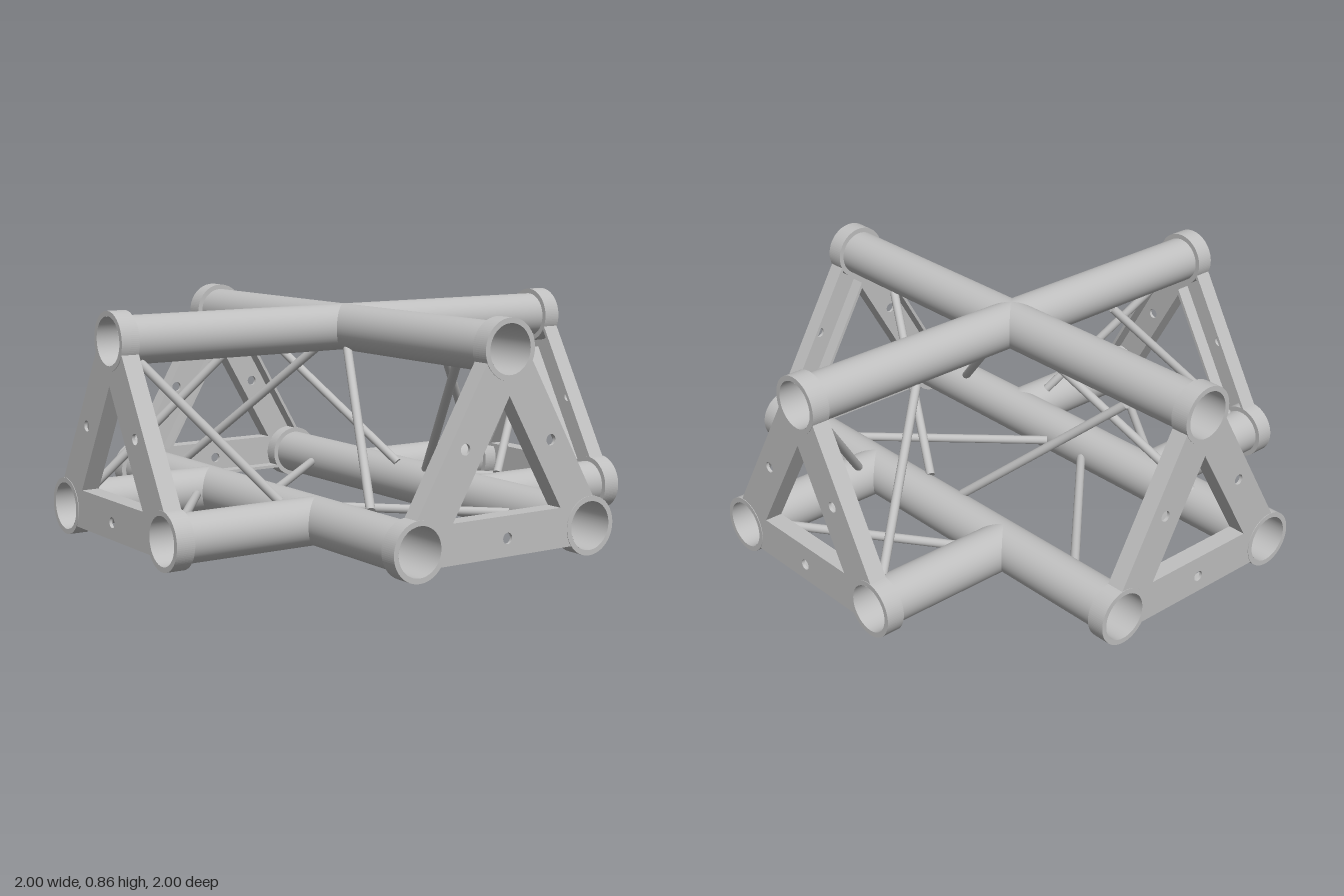
import * as THREE from 'three';

const R = 0.088, RING = 0.107, ROD = 0.017, RING_W = 0.07;
const HALF = 0.375, LOW = 0.107, HIGH = 0.757;
const CORNERS = [[-HALF, LOW], [HALF, LOW], [0, HIGH]];
const CY = LOW + (HIGH - LOW) / 3; // centre of the triangular section
const IN = 0.137;                  // inradius of the plate window
const WALL = 0.012;

export function createModel() {
  const metal = new THREE.MeshStandardMaterial({ color: 0xc0c0c0, side: THREE.DoubleSide });
  metal.name = 'brushed aluminium';
  const model = new THREE.Group();
  model.name = 'fourWayTruss';

  const add = (parent, name, geo) => {
    const mesh = new THREE.Mesh(geo, metal);
    mesh.name = name;
    parent.add(mesh);
    return mesh;
  };

  // cylinder between two points
  const bar = (name, a, b, r, open) => {
    const p = new THREE.Vector3(...a), q = new THREE.Vector3(...b);
    const d = q.clone().sub(p);
    const mesh = add(model, name, new THREE.CylinderGeometry(r, r, d.length(), open ? 48 : 16, 1, open));
    mesh.position.copy(p).add(q).multiplyScalar(0.5);
    mesh.quaternion.setFromUnitVectors(new THREE.Vector3(0, 1, 0), d.normalize());
  };

  // main chords: two crossing top tubes, two long lower tubes, four lower stubs
  bar('topChordAcross', [-1, HIGH, 0], [1, HIGH, 0], R, true);
  bar('topChordLong', [0, HIGH, -1], [0, HIGH, 1], R, true);
  for (const s of [-1, 1]) {
    bar('lowerChordLong', [s * HALF, LOW, -1], [s * HALF, LOW, 1], R, true);
    for (const t of [-1, 1]) bar('lowerChordStub', [s * HALF, LOW, t * HALF], [s, LOW, t * HALF], R, true);
  }

  // diagonal braces, running in the faces of the section from tube wall to tube wall
  const e = HALF - R / 2, yl = LOW + R * 0.866, yh = HIGH - R * 0.866, m = R / 2, f = HALF - R;
  for (const s of [-1, 1]) {
    bar('braceLongLeft', [e, yl, s * 0.095], [m, yh, s * 0.655], ROD);
    bar('braceLongRight', [-e, yl, s * 0.655], [-m, yh, s * 0.095], ROD);
    bar('braceLongBottom', [f, LOW, s * 0.66], [-f, LOW, s * 0.1], ROD);
    bar('braceAcrossFront', [s * 0.5, yl, e], [s * 0.9, yh, m], ROD);
    bar('braceAcrossBack', [s * 0.9, yl, -e], [s * 0.5, yh, -m], ROD);
    bar('braceAcrossBottom', [s * 0.9, LOW, f], [s * 0.49, LOW, -f], ROD);
  }

  const circle = (x, y, r) => new THREE.Path().absarc(x, y, r, 0, Math.PI * 2, true);
  const triangle = (PathType, r) => {
    const pts = [210, 330, 90].map((a) => {
      const t = THREE.MathUtils.degToRad(a);
      return new THREE.Vector2(2 * r * Math.cos(t), CY + 2 * r * Math.sin(t));
    });
    const path = new PathType(pts);
    path.closePath();
    return path;
  };
  const extrude = (shape, depth) =>
    new THREE.ExtrudeGeometry(shape, { depth, bevelEnabled: false, curveSegments: 24 });

  // triangular web with tube bores, window and bolt holes
  const drop = 0.064, arcR = 0.1, phi = Math.asin(drop / arcR);
  const web = new THREE.Shape();
  CORNERS.forEach(([x, y], i) => {
    const out = THREE.MathUtils.degToRad([210, 330, 90][i]);
    const spread = Math.PI * 5 / 6 - phi;
    web.absarc(x, y, arcR, out - spread, out + spread, false);
  });
  web.closePath();
  web.holes.push(triangle(THREE.Path, IN));
  CORNERS.forEach(([x, y], i) => {
    const [x2, y2] = CORNERS[(i + 1) % 3];
    web.holes.push(circle(x, y, 0.092), circle((x + x2) / 2, (y + y2) / 2, 0.02));
  });
  const webGeo = extrude(web, WALL);

  // inner flange around the window, and thin outer flanges along the sides
  const inner = triangle(THREE.Shape, IN + WALL);
  inner.holes.push(triangle(THREE.Path, IN));
  const innerGeo = extrude(inner, RING_W - 0.002);
  const outerGeo = new THREE.BoxGeometry(2 * HALF - 2 * 0.08, WALL, RING_W - 0.002);

  // end collars
  const collar = new THREE.Shape().absarc(0, 0, RING, 0, Math.PI * 2, false);
  collar.holes.push(circle(0, 0, R));
  const collarGeo = new THREE.ExtrudeGeometry(collar, { depth: RING_W, bevelEnabled: false, curveSegments: 48 });

  for (let k = 0; k < 4; k++) {
    const end = new THREE.Group();
    end.name = 'endFrame';
    add(end, 'frameWeb', webGeo).position.z = 0.998 - WALL;
    add(end, 'windowFlange', innerGeo).position.z = 1 - RING_W;
    CORNERS.forEach(([x, y], i) => {
      add(end, 'collar', collarGeo).position.set(x, y, 1 - RING_W);
      const a = i * Math.PI * 2 / 3, r = (HIGH - LOW) / 3 + drop - WALL / 2;
      const flange = add(end, 'outerFlange', outerGeo);
      flange.position.set(r * Math.sin(a), CY - r * Math.cos(a), 0.999 - RING_W / 2);
      flange.rotation.z = a;
    });
    end.rotation.y = k * Math.PI / 2;
    model.add(end);
  }
  return model;
}
